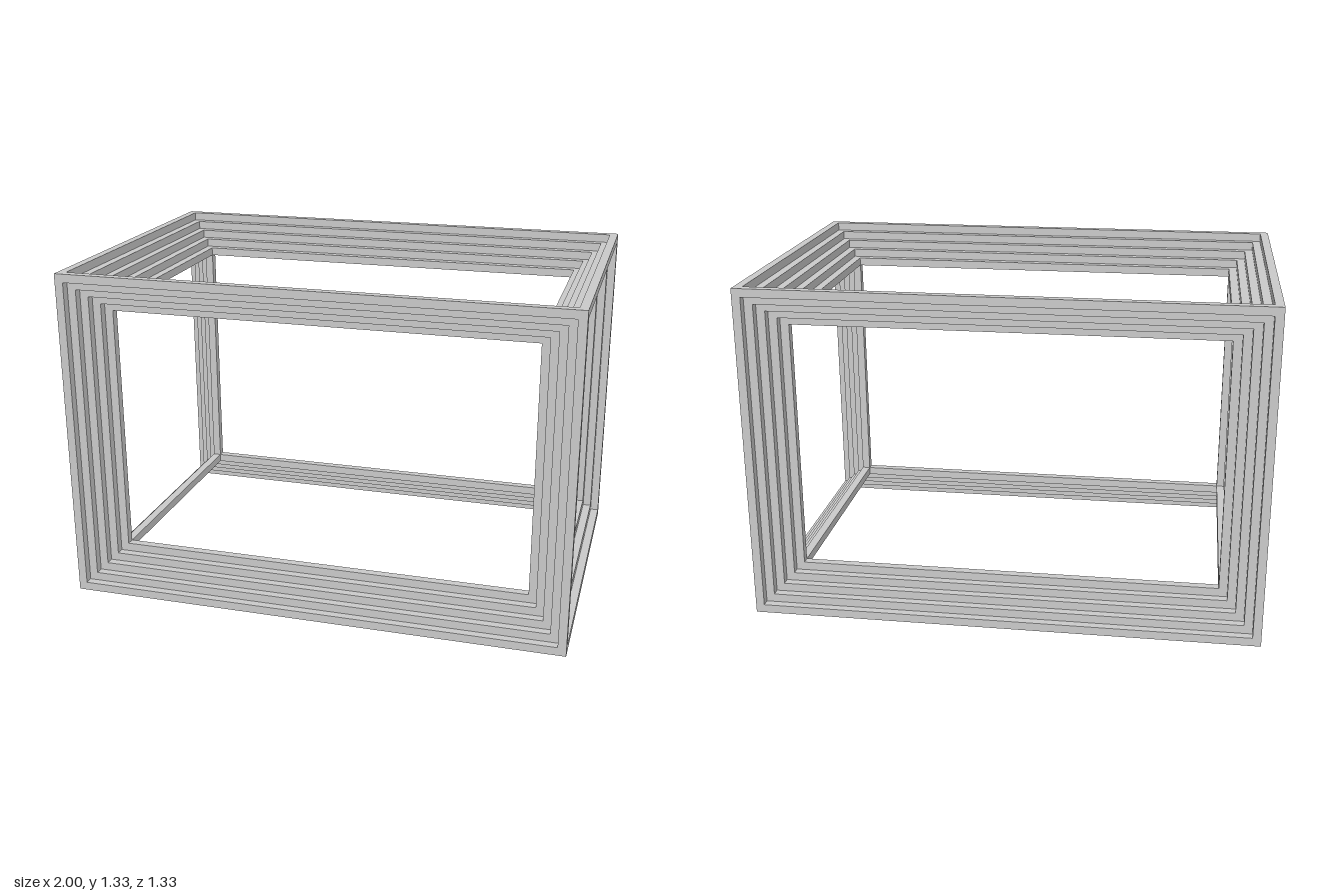
import * as THREE from 'three';

const LAYERS = 5;
const T = 1 / 30; // bar thickness, also the inset of each layer
const SIZE = [2, 4 / 3, 4 / 3];

// One box-shaped frame of twelve square bars; bars butt together without overlapping
function boxFrame(size, material) {
  const frame = new THREE.Group();
  const [hx, hy, hz] = size.map((s) => (s - T) / 2);
  const bar = (name, w, h, d, x, y, z) => {
    const mesh = new THREE.Mesh(new THREE.BoxGeometry(w, h, d), material);
    mesh.name = name;
    mesh.position.set(x, y, z);
    frame.add(mesh);
  };
  for (const a of [-1, 1]) {
    for (const b of [-1, 1]) {
      bar('longRail', size[0], T, T, 0, a * hy, b * hz);
      bar('post', T, size[1] - 2 * T, T, a * hx, 0, b * hz);
      bar('crossRail', T, T, size[2] - 2 * T, a * hx, b * hy, 0);
    }
  }
  return frame;
}

export function createModel() {
  const model = new THREE.Group();
  model.name = 'nestedBoxFrames';
  const material = new THREE.MeshStandardMaterial({ color: 0xcccccc });

  // Each frame sits inside the previous one, touching it along its edges
  for (let i = 0; i < LAYERS; i++) {
    const frame = boxFrame(SIZE.map((s) => s - 2 * T * i), material);
    frame.name = `frameLayer${i + 1}`;
    frame.position.y = SIZE[1] / 2;
    model.add(frame);
  }
  return model;
}
